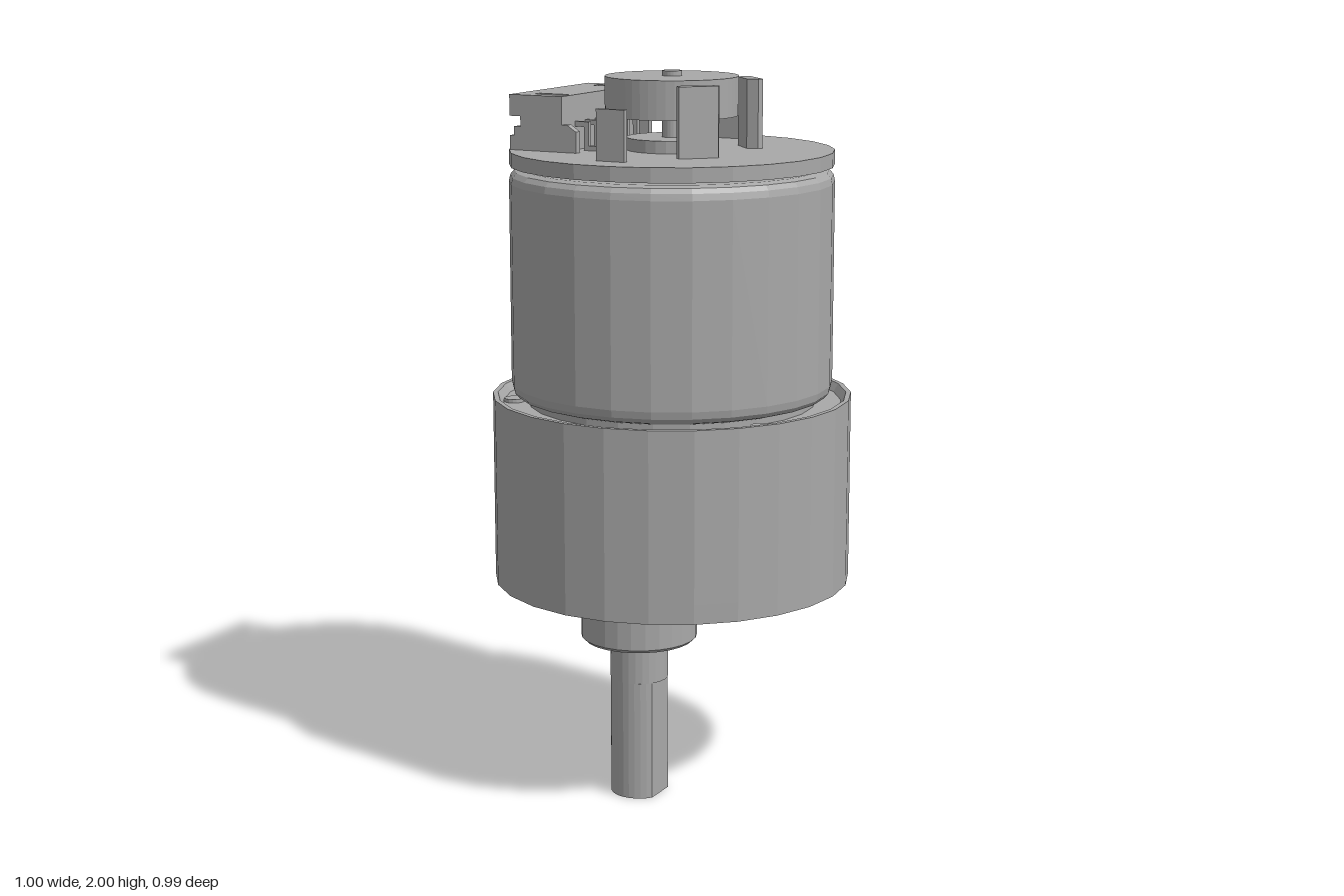
import * as THREE from 'three';

const SIDES = 26;
const metal = new THREE.MeshStandardMaterial({ color: 0xa8a8a8, flatShading: true });
metal.name = 'plain grey';

export function createModel() {
  const model = new THREE.Group();
  model.name = 'gearedMotor';

  const add = (name, geometry, x = 0, y = 0, z = 0) => {
    const mesh = new THREE.Mesh(geometry, metal);
    mesh.name = name;
    mesh.position.set(x, y, z);
    model.add(mesh);
    return mesh;
  };
  const box = (name, w, h, d, x, y, z) => add(name, new THREE.BoxGeometry(w, h, d), x, y, z);
  // upright cylinder between two heights
  const rod = (name, r, y0, y1, x = 0, z = 0, sides = SIDES) =>
    add(name, new THREE.CylinderGeometry(r, r, y1 - y0, sides, 1, false, Math.PI / 2), x, (y0 + y1) / 2, z);
  // solid of revolution from [radius, height] pairs
  const turn = (name, pts, x = 0, z = 0) =>
    add(name, new THREE.LatheGeometry(pts.map(p => new THREE.Vector2(...p)), SIDES, Math.PI / 2), x, 0, z);
  const points = pts => pts.map(p => new THREE.Vector2(...p));
  const ring = (r, n, cx = 0, cz = 0) => Array.from({ length: n }, (_, i) => {
    const a = i / n * Math.PI * 2;
    return new THREE.Vector2(cx + r * Math.cos(a), cz + r * Math.sin(a));
  });
  // horizontal plate from an x,z outline
  const slab = (name, outline, y0, y1, holes = [], x = 0, z = 0) => {
    const shape = new THREE.Shape(outline);
    holes.forEach(h => shape.holes.push(new THREE.Path(h)));
    const g = new THREE.ExtrudeGeometry(shape, { depth: y1 - y0, bevelEnabled: false });
    return add(name, g.rotateX(Math.PI / 2), x, y1, z);
  };
  // upright plate from an x,y outline, centred on z
  const profile = (name, outline, depth, z) =>
    add(name, new THREE.ExtrudeGeometry(new THREE.Shape(points(outline)), { depth, bevelEnabled: false }), 0, 0, z - depth / 2);

  // gearbox housing with a recessed top seat
  turn('gearboxHousing', [[0, 0.635], [0.5, 0.635], [0.5, 1.108], [0.486, 1.108], [0.472, 1.085], [0, 1.085]]);

  // gearbox base: crescent recess and six mounting holes
  const cz = 0.195, bigR = 0.335, smallR = 0.27;
  const meetZ = (bigR ** 2 - smallR ** 2 + cz ** 2) / (2 * cz);
  const meetX = Math.sqrt(bigR ** 2 - meetZ ** 2);
  const a0 = Math.atan2(meetZ, meetX), b0 = Math.atan2(meetZ - cz, meetX);
  const crescent = [];
  for (let i = 0; i <= 28; i++) {
    const a = a0 - i / 28 * (Math.PI + 2 * a0);
    crescent.push(new THREE.Vector2(bigR * Math.cos(a), bigR * Math.sin(a)));
  }
  for (let i = 1; i < 24; i++) {
    const a = -Math.PI - b0 + i / 24 * (Math.PI + 2 * b0);
    crescent.push(new THREE.Vector2(smallR * Math.cos(a), cz + smallR * Math.sin(a)));
  }
  const boltAngles = [0, 1, 2, 3, 4, 5].map(i => i * Math.PI / 3);
  const boltHoles = r => boltAngles.map(a => ring(r, 16, 0.43 * Math.cos(a), 0.43 * Math.sin(a)));
  slab('gearboxBase', ring(0.5, SIDES), 0.595, 0.635, [crescent, ...boltHoles(0.034)]);
  slab('gearboxBaseFace', ring(0.5, SIDES), 0.582, 0.595, [crescent, ...boltHoles(0.046)]);

  // three cross-head screws, ends showing in the top seat
  const w = 0.006, l = 0.026;
  const cross = points([[w, w], [l, w], [l, -w], [w, -w], [w, -l], [-w, -l],
    [-w, -w], [-l, -w], [-l, w], [-w, w], [-w, l], [w, l]]);
  for (const a of [Math.PI / 6, Math.PI * 5 / 6, Math.PI * 1.5]) {
    const c = Math.cos(a), s = Math.sin(a);
    slab('screwHead', ring(0.042, 18), 0.574, 0.584, [cross], 0.43 * c, 0.43 * s);
    rod('screwEnd', 0.028, 1.08, 1.095, 0.44 * c, 0.44 * s, 16);
  }

  // offset output boss and D-cut shaft
  turn('outputBoss', [[0, 0.448], [0.152, 0.448], [0.161, 0.457], [0.161, 0.6], [0, 0.6]], 0, cz);
  rod('outputShaftCollar', 0.08, 0.335, 0.45, 0, cz);
  const flatX = 0.065, half = Math.acos(flatX / 0.08);
  const dCut = Array.from({ length: 25 }, (_, i) => {
    const a = half + i / 24 * (Math.PI * 2 - 2 * half);
    return new THREE.Vector2(0.08 * Math.cos(a), 0.08 * Math.sin(a));
  });
  slab('outputShaft', dCut, 0, 0.335, [], 0, cz);

  // motor can with rounded ends
  turn('motorCan', [[0, 1.105], [0.41, 1.105], [0.432, 1.112], [0.443, 1.125], [0.447, 1.145],
    [0.447, 1.7], [0.443, 1.718], [0.432, 1.731], [0.412, 1.737], [0, 1.737]]);
  rod('motorNeck', 0.4, 1.08, 1.106);
  rod('rearBearing', 0.125, 1.73, 1.82);

  // circuit board, solder terminals and rotating magnet
  rod('circuitBoard', 0.446, 1.746, 1.786);
  for (const s of [1, -1]) box('motorTerminal', 0.084, 0.19, 0.016, 0, 1.827, s * 0.338);
  rod('rearShaft', 0.027, 1.8, 2, 0, 0, 20);
  rod('encoderMagnet', 0.183, 1.88, 1.986, 0, 0, 48);

  // pair of chamfered sensors facing the magnet
  for (const s of [1, -1]) {
    const outline = [[0.116, 0.194], [0.132, 0.21], [0.21, 0.134], [0.204, 0.118], [0.172, 0.113], [0.116, 0.172]];
    slab('hallSensor', points(outline.map(([x, z]) => [x, z * s])), 1.78, 1.975);
  }

  // connector shell, open towards -x
  const endWall = [[-0.386, 1.936], [-0.386, 1.878], [-0.352, 1.878], [-0.352, 1.85], [-0.372, 1.85],
    [-0.372, 1.825], [-0.386, 1.825], [-0.386, 1.784], [-0.178, 1.784], [-0.178, 1.843],
    [-0.205, 1.86], [-0.222, 1.86], [-0.222, 1.936]];
  for (const s of [1, -1]) profile('connectorEnd', endWall, 0.022, s * 0.205);
  const slots = [1, -1].map(s => points([[-0.33, s * 0.148], [-0.235, s * 0.148], [-0.235, s * 0.176], [-0.33, s * 0.176]]));
  slab('connectorTop', points([[-0.386, -0.2], [-0.222, -0.2], [-0.222, 0.2], [-0.386, 0.2]]), 1.905, 1.936, slots);
  box('connectorFloor', 0.164, 0.022, 0.4, -0.304, 1.796, 0);
  box('connectorBack', 0.025, 0.13, 0.4, -0.2345, 1.85, 0);

  // six bent pins
  const pin = [[-0.35, 1.864], [-0.35, 1.85], [-0.194, 1.85], [-0.194, 1.785], [-0.15, 1.785], [-0.15, 1.799],
    [-0.18, 1.799], [-0.18, 1.864]];
  for (let i = 0; i < 6; i++) profile('connectorPin', pin, 0.013, (i - 2.5) * 0.055);

  return model;
}
